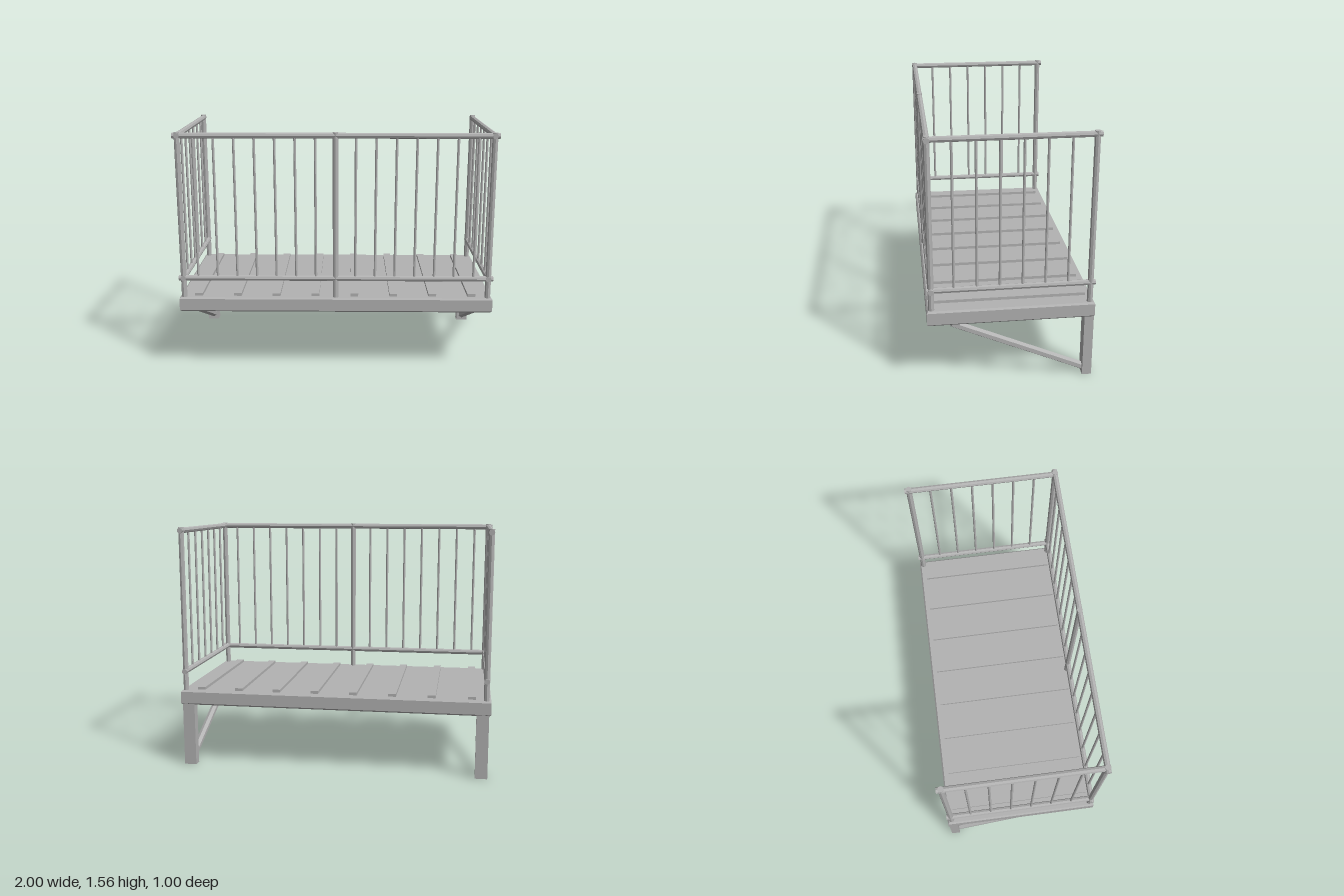
import * as THREE from 'three';

const metal = new THREE.MeshStandardMaterial({ color: 0xb2b2b2, flatShading: true });
metal.name = 'grey metal';

export function createModel() {
  const model = new THREE.Group();
  model.name = 'balcony';

  const add = (name, geometry, x = 0, y = 0, z = 0) => {
    const mesh = new THREE.Mesh(geometry, metal);
    mesh.name = name;
    mesh.position.set(x, y, z);
    model.add(mesh);
    return mesh;
  };

  // Straight faceted bar between two points
  const bar = (name, from, to, radius, sides = 8) => {
    const a = new THREE.Vector3(...from), b = new THREE.Vector3(...to);
    const dir = b.clone().sub(a);
    const mesh = add(name, new THREE.CylinderGeometry(radius, radius, dir.length(), sides));
    mesh.position.copy(a).add(b).multiplyScalar(0.5);
    mesh.quaternion.setFromUnitVectors(new THREE.Vector3(0, 1, 0), dir.normalize());
    return mesh;
  };

  // Deck slab with chamfered edges
  const c = 0.01, hx = 1 - c, hz = 0.5 - c;
  const outline = new THREE.Shape([
    new THREE.Vector2(-hx, -hz), new THREE.Vector2(hx, -hz),
    new THREE.Vector2(hx, hz), new THREE.Vector2(-hx, hz),
  ]);
  const deck = new THREE.ExtrudeGeometry(outline, {
    depth: 0.095 - 2 * c, bevelEnabled: true, bevelSize: c, bevelThickness: c, bevelSegments: 1,
  });
  deck.rotateX(-Math.PI / 2);
  add('deck', deck, 0, 0.405 + c, 0);

  // Raised floor slats
  for (let i = 0; i < 8; i++) {
    add('floorSlat', new THREE.BoxGeometry(0.05, 0.03, 0.92), -0.88 + 0.25 * i, 0.503, 0);
  }

  // Railing: posts, rails and balusters
  const px = 0.97, pz = 0.472, r = 0.018, low = 0.625, high = 1.535;
  for (const [x, z] of [[-px, pz], [0, pz], [px, pz], [-px, -pz], [px, -pz]]) {
    bar('post', [x, 0.49, z], [x, 1.555, z], r);
  }
  for (const y of [low, high]) {
    bar('frontRail', [-1, y, pz], [1, y, pz], r);
    for (const s of [-1, 1]) bar('sideRail', [s * px, y, -0.5], [s * px, y, 0.49], r);
  }
  for (let i = -7; i <= 7; i++) {
    if (i !== 0) bar('frontBaluster', [i * 0.125, low, pz], [i * 0.125, high, pz], 0.008);
  }
  for (const s of [-1, 1]) {
    for (let i = 0; i < 6; i++) {
      const z = -0.337 + i * 0.1348;
      bar('sideBaluster', [s * px, low, z], [s * px, high, z], 0.008);
    }
    // Rear leg and hexagonal diagonal brace
    add('leg', new THREE.BoxGeometry(0.078, 0.41, 0.057), s * 0.949, 0.205, -0.47);
    bar('brace', [s * 0.949, 0.033, -0.465], [s * 0.949, 0.393, 0.35], 0.024, 6);
  }
  return model;
}
